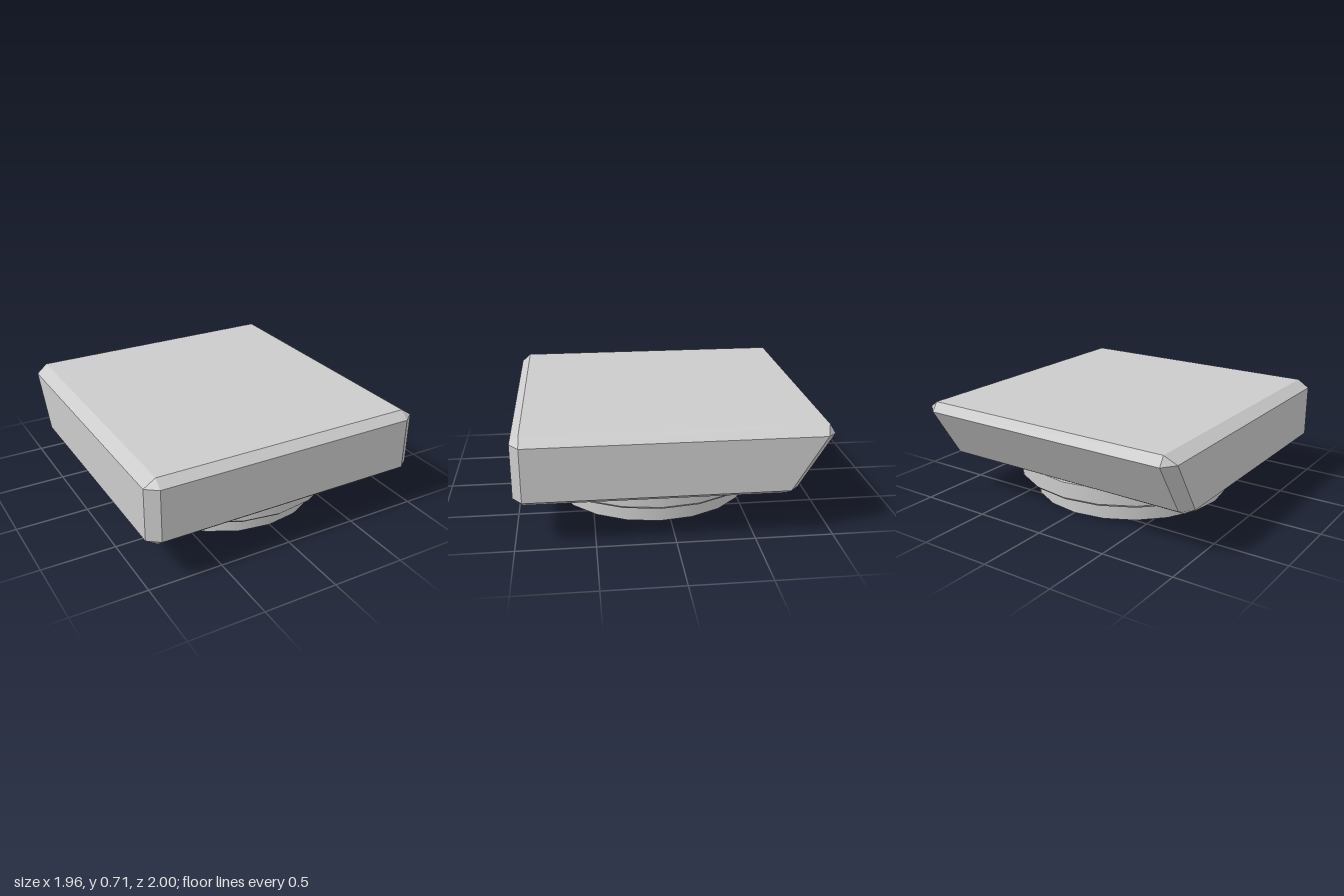
import * as THREE from 'three';
import { ConvexGeometry } from 'three/addons/geometries/ConvexGeometry.js';

export function createModel() {
  const group = new THREE.Group();
  const smooth = new THREE.MeshStandardMaterial({ color: 0xcccccc });
  const faceted = new THREE.MeshStandardMaterial({ color: 0xcccccc, flatShading: true });

  // Chamfered slab with a back face that slopes outward towards the top
  const points = [];
  const addPair = (x, y, z) => points.push(new THREE.Vector3(x, y, z), new THREE.Vector3(-x, y, z));
  const frontZ = 1, inset = 0.06, halfX = 0.98, innerX = 0.9;
  // Top and bottom faces: [height, back edge]
  for (const [y, back] of [[0.715, -0.96], [0.26, -0.71]]) {
    addPair(innerX, y, frontZ - inset);
    addPair(innerX, y, back);
  }
  // Upper and lower rims: [height, side back, back height, back edge]
  for (const [y, sideBack, backY, back] of [[0.663, -0.935, 0.652, -1], [0.31, -0.72, 0.3, -0.78]]) {
    addPair(innerX, y, frontZ);
    addPair(halfX, y, frontZ - inset);
    addPair(halfX, y, sideBack);
    addPair(innerX, backY, back);
  }
  const slab = new THREE.Mesh(new ConvexGeometry(points), faceted);
  slab.name = 'slab';
  group.add(slab);

  // Round stepped base, built from stacked 20-sided drums
  const addDrum = (name, topR, bottomR, y0, y1) => {
    const drum = new THREE.Mesh(new THREE.CylinderGeometry(topR, bottomR, y1 - y0, 20), smooth);
    drum.name = name;
    drum.position.set(0, (y0 + y1) / 2, 0.07);
    group.add(drum);
  };
  addDrum('collar', 0.815, 0.815, 0.155, 0.265);
  addDrum('collarChamfer', 0.815, 0.793, 0.135, 0.155);
  addDrum('foot', 0.697, 0.697, 0, 0.14);

  return group;
}
